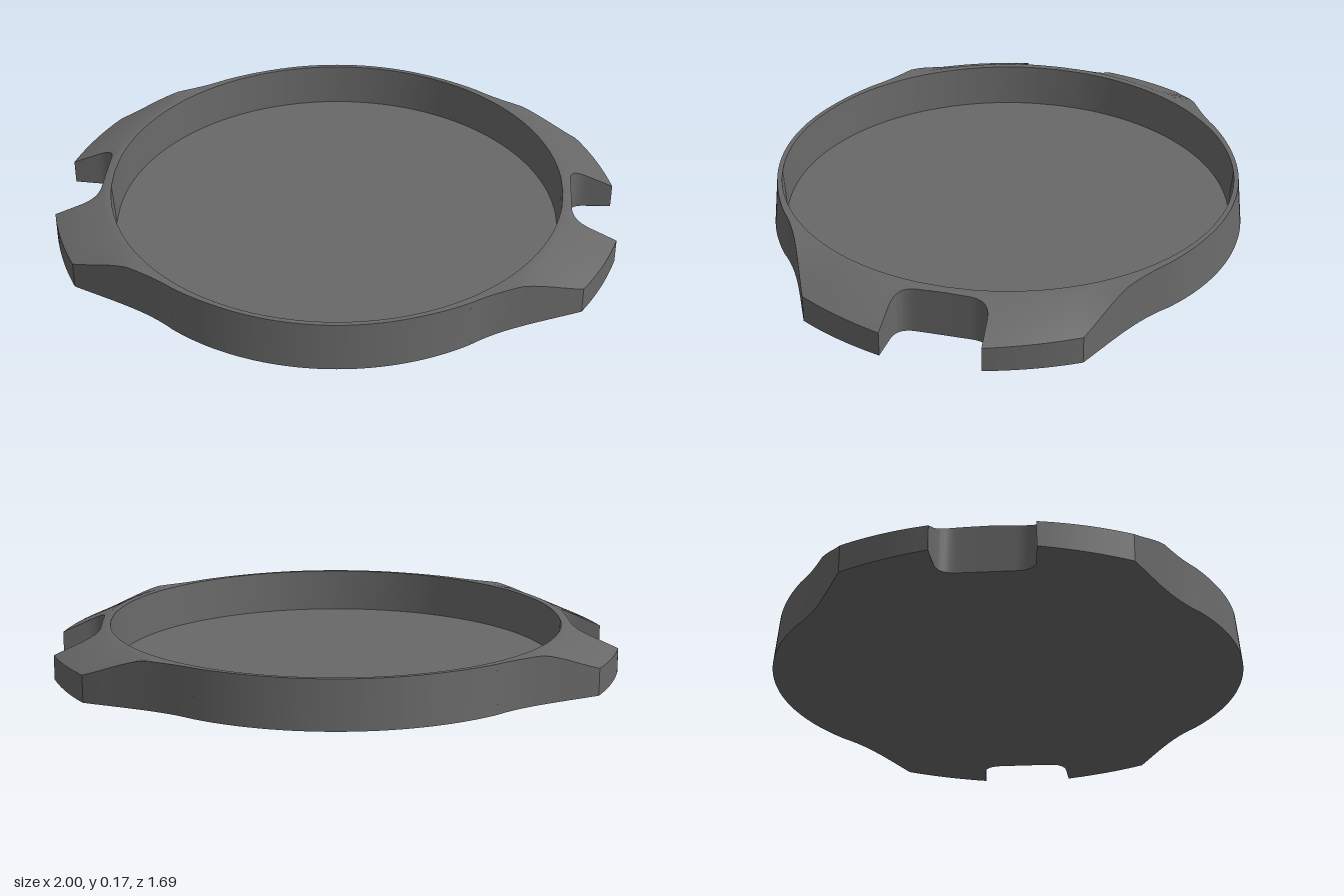
import * as THREE from 'three';
import { toCreasedNormals } from 'three/addons/utils/BufferGeometryUtils.js';

const HEIGHT = 0.17, FLOOR = 0.015, SHOULDER = 0.835, BODY = 0.844, NOTCH = 0.84;

// One quarter of the outline (x, z): notch, grip tab, concave neck, round body
function quarterOutline() {
  const path = new THREE.Path();
  path.moveTo(NOTCH, 0);
  path.lineTo(NOTCH, 0.09);
  path.bezierCurveTo(NOTCH, 0.145, 0.865, 0.164, 0.92, 0.165);
  path.lineTo(1, 0.17);
  path.quadraticCurveTo(0.955, 0.335, 0.875, 0.472);
  path.bezierCurveTo(0.72, 0.545, 0.6, 0.59, 0.5, 0.68);
  path.absarc(0, 0, BODY, Math.atan2(0.68, 0.5), Math.PI / 2, false);
  return path.getPoints(12);
}

// Mirror the quarter into a closed loop
function fullOutline() {
  const q = quarterOutline();
  const flip = (pts, sx, sz) => pts.map(p => new THREE.Vector2(p.x * sx, p.y * sz));
  const back = q.slice().reverse();
  const loop = [...q, ...flip(back, -1, 1), ...flip(q, -1, -1), ...flip(back, 1, -1)];
  return loop.filter((p, i) => p.distanceTo(loop[(i + 1) % loop.length]) > 1e-5);
}

// Join successive rings of equal length with outward faces
function loft(rings) {
  const pos = [];
  const tri = (a, b, c) => {
    const area = b.clone().sub(a).cross(c.clone().sub(a)).length();
    if (area > 1e-9) for (const v of [a, b, c]) pos.push(v.x, v.y, v.z);
  };
  for (let k = 0; k < rings.length - 1; k++) {
    const lo = rings[k], hi = rings[k + 1], n = lo.length;
    for (let i = 0; i < n; i++) {
      const j = (i + 1) % n;
      tri(lo[i], hi[i], lo[j]);
      tri(lo[j], hi[i], hi[j]);
    }
  }
  const geo = new THREE.BufferGeometry();
  geo.setAttribute('position', new THREE.Float32BufferAttribute(pos, 3));
  return toCreasedNormals(geo, 0.5);
}

export function createModel() {
  const group = new THREE.Group();
  group.name = 'cap';
  const material = new THREE.MeshStandardMaterial({ color: 0x686868 });
  const outline = fullOutline();

  // Circle points matched to the outline; clamping x keeps them in order past the notch
  const circle = (r, y) => outline.map(p => {
    const d = new THREE.Vector2(THREE.MathUtils.clamp(p.x, -NOTCH, NOTCH), p.y).setLength(r);
    return new THREE.Vector3(d.x, y, d.y);
  });

  // The tabs slope down like a cone outside the shoulder, which widens at the necks
  const topY = (r, z) => {
    const shoulder = SHOULDER + 0.04 * THREE.MathUtils.smoothstep(Math.abs(z), 0.47, 0.57);
    return HEIGHT - Math.max(0, r - shoulder) * 0.46;
  };
  // The front and back walls lean in slightly
  const topEdge = outline.map(p => {
    const s = 1 - 0.02 * THREE.MathUtils.smoothstep(Math.abs(p.y), 0.55, 0.8);
    return new THREE.Vector3(p.x * s, topY(p.length() * s, p.y), p.y * s);
  });
  const shoulderRing = circle(SHOULDER, HEIGHT).map((v, i) => {
    const edge = topEdge[i];
    return Math.hypot(edge.x, edge.z) > SHOULDER ? v : edge;
  });

  // Underside, outer wall, sloped tabs, rim and inner wall
  const shell = new THREE.Mesh(loft([
    circle(0, 0),
    circle(0.8, 0),
    outline.map(p => new THREE.Vector3(p.x, 0, p.y)),
    topEdge,
    shoulderRing,
    circle(0.81, HEIGHT),
    circle(0.8, FLOOR),
  ]), material);
  shell.name = 'rimWithGripTabs';

  // Recessed inner floor
  const floor = new THREE.Mesh(loft([circle(0.8, FLOOR), circle(0, FLOOR)]), material);
  floor.name = 'innerFloor';

  group.add(shell, floor);
  return group;
}
